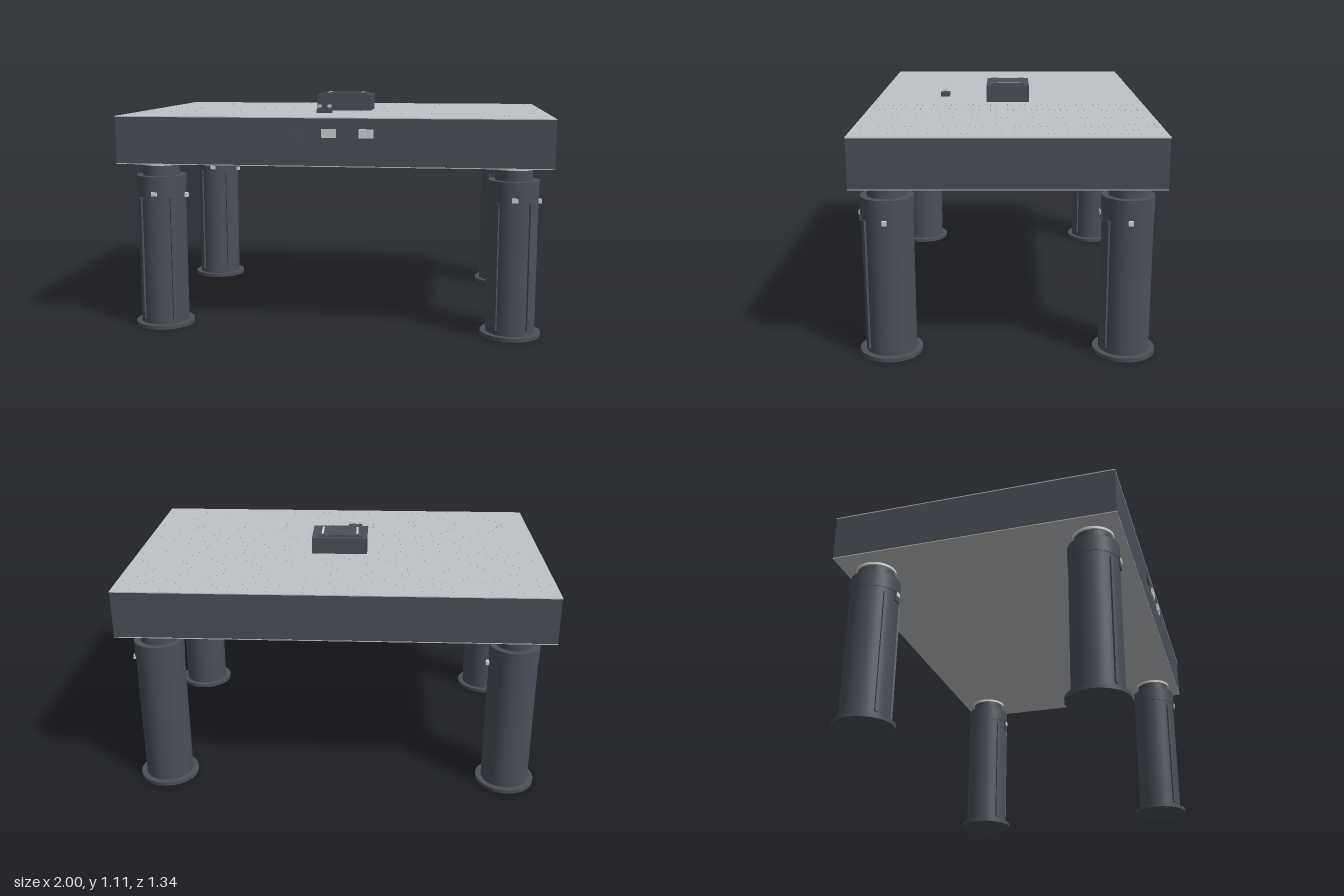
import * as THREE from 'three';
import { mergeGeometries } from 'three/addons/utils/BufferGeometryUtils.js';

const material = (name, color) => {
  const m = new THREE.MeshStandardMaterial({ color });
  m.name = name;
  return m;
};

export function createModel() {
  const root = new THREE.Group();
  root.name = 'isolationTable';
  const dark = material('dark paint', 0x4a505a);
  const steel = material('brushed steel', 0xbfc4c8);
  const light = material('light metal', 0xd3d6d9);
  const black = material('hole black', 0x1c1e22);

  const add = (parent, name, geo, mat, x = 0, y = 0, z = 0) => {
    const mesh = new THREE.Mesh(geo, mat);
    mesh.name = name;
    mesh.position.set(x, y, z);
    parent.add(mesh);
    return mesh;
  };
  // box given by its size and centre
  const box = (parent, name, mat, w, h, d, x, y, z) =>
    add(parent, name, new THREE.BoxGeometry(w, h, d), mat, x, y, z);
  // upright cylinder between two heights
  const post = (parent, name, mat, r, y0, y1) =>
    add(parent, name, new THREE.CylinderGeometry(r, r, y1 - y0, 40), mat, 0, (y0 + y1) / 2, 0);

  // table top: bottom skin, core and top skin
  const table = new THREE.Group();
  table.name = 'tableTop';
  table.position.z = -0.005;
  root.add(table);
  box(table, 'bottomSkin', steel, 1.998, 0.004, 1.332, 0, 0.794, 0);
  box(table, 'core', dark, 1.996, 0.215, 1.33, 0, 0.9035, 0);
  box(table, 'topSkin', steel, 2, 0.004, 1.334, 0, 1.013, 0);

  // regular grid of tiny mounting holes
  const pitch = 0.0278;
  const holes = [];
  for (let i = -35; i <= 35; i++) {
    for (let j = -23; j <= 23; j++) {
      const hole = new THREE.CircleGeometry(0.0008, 6);
      hole.rotateX(-Math.PI / 2);
      hole.translate(i * pitch, 1.0156, j * pitch);
      holes.push(hole);
    }
  }
  add(table, 'mountingHoles', mergeGeometries(holes), black);

  // small plates on the front edge
  [[-0.167, dark], [-0.004, light], [0.165, light]].forEach(([x, mat]) =>
    box(root, 'frontPlate', mat, 0.066, 0.04, 0.009, x, 0.944, 0.6645));

  // isolator legs, all facing the front
  for (const x of [-0.832, 0.83]) {
    for (const z of [-0.527, 0.52]) {
      const leg = new THREE.Group();
      leg.name = 'leg';
      leg.position.set(x, 0, z);
      root.add(leg);
      post(leg, 'foot', dark, 0.14, 0, 0.018);
      post(leg, 'column', dark, 0.1135, 0.018, 0.66);
      post(leg, 'sleeve', dark, 0.1165, 0.655, 0.73);
      post(leg, 'neck', dark, 0.086, 0.73, 0.78);
      post(leg, 'supportDisc', light, 0.094, 0.78, 0.792);
      // vertical ribs either side of the front
      for (const side of [-1, 1]) {
        const a = side * 0.68;
        const rib = box(leg, 'rib', dark, 0.014, 0.59, 0.02,
          Math.sin(a) * 0.113, 0.335, Math.cos(a) * 0.113);
        rib.rotation.y = a;
      }
      // front valve and side air fitting
      box(leg, 'valveBody', dark, 0.04, 0.06, 0.014, 0, 0.642, 0.112);
      box(leg, 'valveFace', light, 0.028, 0.02, 0.005, 0, 0.649, 0.1205);
      box(leg, 'airFitting', light, 0.02, 0.02, 0.02, 0.118, 0.632, 0);
    }
  }

  // instrument box with raised frame, panel and rails
  const unit = new THREE.Group();
  unit.name = 'instrument';
  unit.position.set(-0.002, 0, -0.005);
  root.add(unit);
  box(unit, 'housing', dark, 0.274, 0.08, 0.212, 0, 1.055, 0);
  box(unit, 'raisedFrame', dark, 0.224, 0.007, 0.168, 0, 1.0985, 0);
  box(unit, 'panel', dark, 0.204, 0.004, 0.15, 0, 1.102, -0.004);
  for (const x of [-0.086, 0.086])
    box(unit, 'rail', light, 0.01, 0.004, 0.112, x, 1.1035, -0.004);

  // small control box with two knobs
  const control = new THREE.Group();
  control.name = 'controlBox';
  control.position.set(-0.071, 0, 0.319);
  root.add(control);
  box(control, 'controlBody', dark, 0.072, 0.018, 0.046, 0, 1.024, 0);
  for (const x of [-0.024, 0.024]) {
    box(control, 'knobStem', dark, 0.008, 0.01, 0.008, x, 1.038, 0);
    box(control, 'knob', light, 0.016, 0.013, 0.016, x, 1.0485, 0);
  }
  return root;
}
